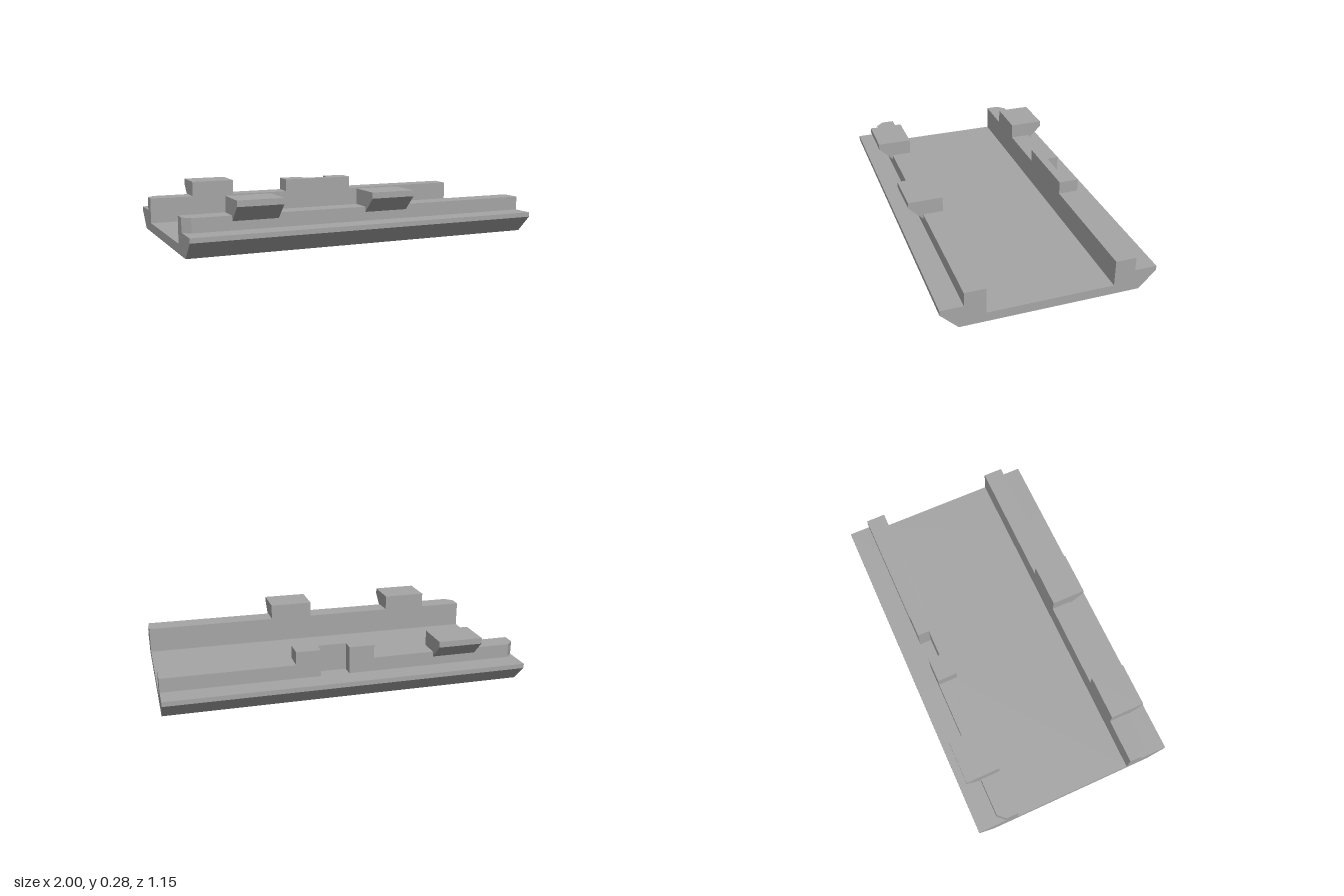
import * as THREE from 'three';

export function createModel() {
  const model = new THREE.Group();
  const grey = new THREE.MeshStandardMaterial({ color: 0xa6a6a6 });
  grey.name = 'plain grey';

  const add = (name, geometry) => {
    const mesh = new THREE.Mesh(geometry, grey);
    mesh.name = name;
    model.add(mesh);
  };
  const shapeOf = (points) => new THREE.Shape(points.map(([a, b]) => new THREE.Vector2(a, b)));

  // Cross-section of [z, y] points swept along x
  const sweepX = (points, x0, x1) =>
    new THREE.ExtrudeGeometry(shapeOf(points.map(([z, y]) => [-z, y])), { depth: x1 - x0, bevelEnabled: false })
      .rotateY(Math.PI / 2).translate(x0, 0, 0);

  // Plan of [x, z] points raised from y0 to y1
  const raise = (points, y0, y1) =>
    new THREE.ExtrudeGeometry(shapeOf(points.map(([x, z]) => [x, -z])), { depth: y1 - y0, bevelEnabled: false })
      .rotateX(-Math.PI / 2).translate(0, y0, 0);

  const inner = 0.342, outer = 0.455, ledge = 0.12, railTop = 0.197;

  // Channel-shaped base with flared flanges; the middle length has a shallow slot underneath
  const upper = [
    [0.483, 0], [0.577, 0.094], [0.577, ledge], [inner, ledge], [inner, 0.052],
    [-inner, 0.052], [-inner, ledge], [-0.577, ledge], [-0.577, 0.094], [-0.483, 0],
  ];
  const slot = [[-0.035, 0], [-0.035, 0.015], [-0.008, 0.015], [-0.008, 0]];
  add('baseRightEnd', sweepX(upper, -1, -0.13));
  add('baseSlotted', sweepX([...upper, ...slot], -0.13, 0.63));
  add('baseLeftEnd', sweepX(upper, 0.63, 1));

  // Notch cut into the outside of the rear rail and its tab
  const notch = [[-0.015, -outer], [-0.015, -0.388], [0.145, -0.388], [0.145, -outer]];

  // Rails with a chamfered corner at the right end
  const railPlan = (s, cut = []) =>
    [[-1, s * inner], [-1, s * 0.413], [-0.96, s * outer], ...cut, [1, s * outer], [1, s * inner]];
  add('frontRail', raise(railPlan(1), ledge, railTop));
  add('rearRail', raise(railPlan(-1, notch), ledge, railTop));

  // Notched tab on the rear rail
  add('rearTab', raise(
    [[-0.155, -inner], [-0.155, -outer], ...notch, [0.28, -outer], [0.28, -inner]], railTop, 0.27));

  // Hooked clips overhanging the rails
  const clip = (name, s, x0, x1) => add(name, sweepX([
    [s * inner, railTop], [s * outer, railTop], [s * outer, 0.168],
    [s * 0.537, 0.25], [s * 0.537, 0.283], [s * inner, 0.283],
  ], x0, x1));
  clip('frontClipRight', 1, -0.75, -0.5);
  clip('frontClipMiddle', 1, 0, 0.25);
  clip('rearClip', -1, -0.75, -0.5);

  return model;
}
